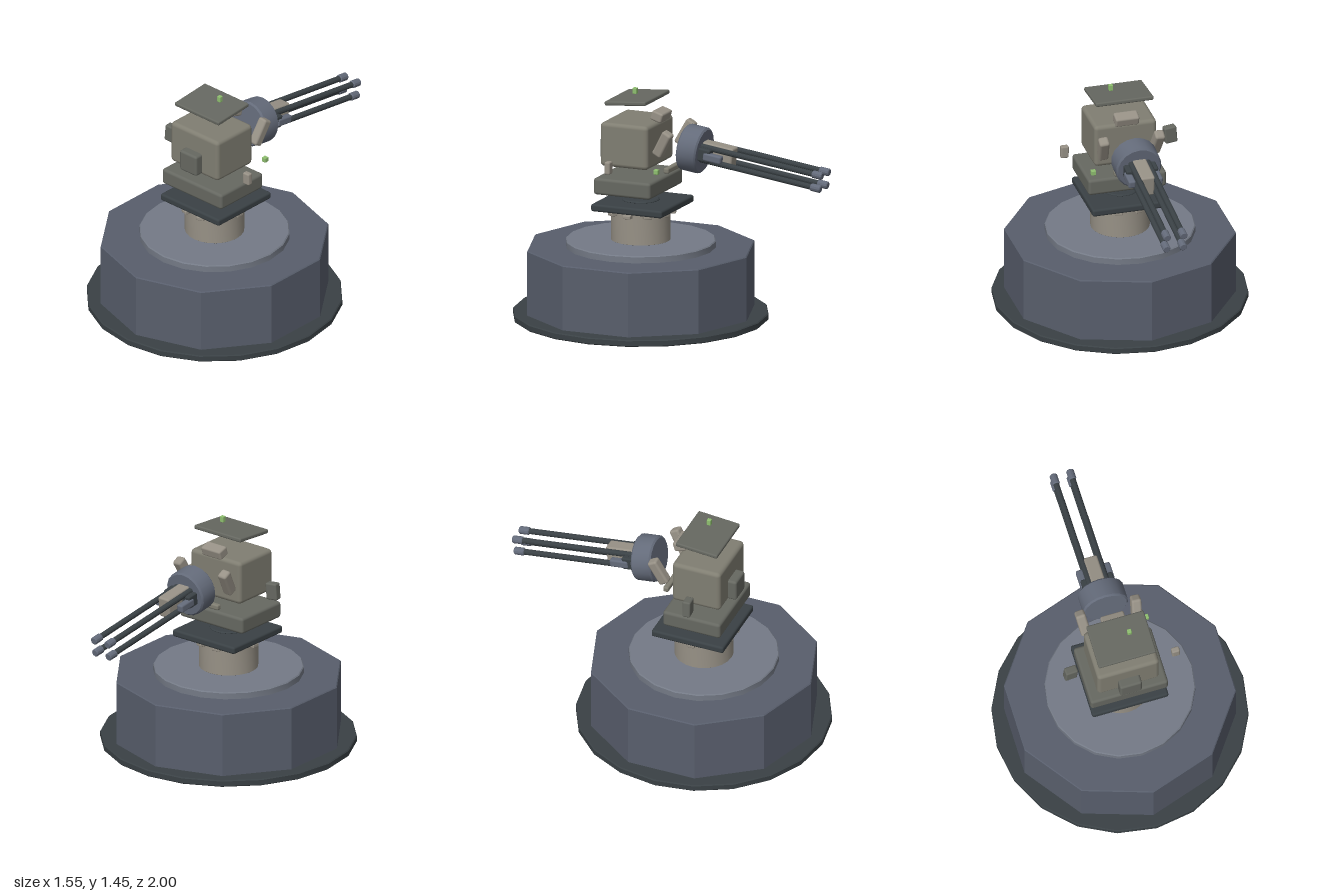
import * as THREE from 'three';
import { toCreasedNormals } from 'three/addons/utils/BufferGeometryUtils.js';
import { RoundedBoxGeometry } from 'three/addons/geometries/RoundedBoxGeometry.js';

const mat = (color) => new THREE.MeshStandardMaterial({ color });
const M = {
  hull: mat(0x585e6c), ring: mat(0x747a86), dark: mat(0x3a4145), stone: mat(0x979186),
  olive: mat(0x807e72), shade: mat(0x666861), steel: mat(0x646b7a), green: mat(0x8fbf70),
};

export function createModel() {
  const model = new THREE.Group();
  model.name = 'gunTurret';

  const place = (parent, name, geo, material, pos, rot = [0, 0, 0]) => {
    const mesh = new THREE.Mesh(geo, material);
    mesh.name = name;
    mesh.position.set(...pos);
    mesh.rotation.set(...rot);
    parent.add(mesh);
    return mesh;
  };
  // Rounded box given by full size and centre
  const box = (parent, name, material, size, pos, rot, r = 0.01) =>
    place(parent, name, new RoundedBoxGeometry(...size, 2, Math.min(r, Math.min(...size) * 0.35)), material, pos, rot);
  // Upright chamfered cylinder, centred on its own origin
  const drumGeo = (r, h, sides, c = 0.006) => {
    const pts = [[0, -h / 2], [r - c, -h / 2], [r, -h / 2 + c], [r, h / 2 - c], [r - c, h / 2], [0, h / 2]];
    const geo = new THREE.LatheGeometry(pts.map((p) => new THREE.Vector2(...p)), sides);
    return toCreasedNormals(geo, 0.35);
  };
  const disc = (name, material, r, y0, y1, sides) =>
    place(model, name, drumGeo(r, y1 - y0, sides), material, [0, (y0 + y1) / 2, 0.225]);

  // Base and pedestal
  disc('baseFlange', M.dark, 0.775, 0.015, 0.057, 20);
  disc('baseBody', M.hull, 0.7, 0, 0.457, 10);
  disc('baseRing', M.ring, 0.455, 0.45, 0.5, 20);
  disc('column', M.stone, 0.18, 0.495, 0.705, 24);
  for (let i = 0; i < 10; i++) {
    const a = (i + 0.5) * Math.PI / 5;
    box(model, 'columnBolt', M.stone, [0.05, 0.022, 0.05],
      [0.19 * Math.sin(a), 0.677, 0.225 + 0.19 * Math.cos(a)], [0, a, 0], 0.005);
  }
  box(model, 'turntablePlate', M.dark, [0.48, 0.046, 0.47], [0, 0.722, 0.215], undefined, 0.014);
  disc('turntableDisc', M.dark, 0.115, 0.74, 0.755, 20);

  // Floating body
  box(model, 'lowerBlock', M.shade, [0.488, 0.103, 0.375], [0, 0.858, 0.243], undefined, 0.018);
  box(model, 'mainHousing', M.olive, [0.39, 0.272, 0.315], [0, 1.11, 0.2525], undefined, 0.025);
  box(model, 'frontHatch', M.shade, [0.138, 0.135, 0.075], [0, 1.053, 0.427], undefined, 0.015);
  box(model, 'roofPlate', M.shade, [0.362, 0.026, 0.272], [0, 1.373, 0.25], [0.08, 0, 0], 0.01);
  box(model, 'sightBlock', M.stone, [0.148, 0.06, 0.075], [0, 1.283, 0.09], [-0.3, 0, 0], 0.012);
  box(model, 'rearBar', M.olive, [0.2, 0.034, 0.035], [0, 0.962, 0.015], undefined, 0.01);
  for (const s of [-1, 1]) {
    box(model, 'gunArm', M.stone, [0.062, 0.17, 0.065], [s * 0.168, 1.146, 0.002], [-0.5, 0, -s * 0.09], 0.015);
  }

  // Loose side pieces and lamps
  box(model, 'rightPod', M.shade, [0.078, 0.105, 0.05], [-0.321, 1.052, 0.255], [0, 0.08, -0.08]);
  box(model, 'leftPod', M.stone, [0.05, 0.078, 0.036], [0.33, 1.006, 0.29], [0, 0, 0.02]);
  box(model, 'roofLamp', M.green, [0.026, 0.038, 0.026], [0.055, 1.429, 0.237], undefined, 0.004);
  box(model, 'sideLamp', M.green, [0.03, 0.03, 0.03], [0.226, 0.984, 0.02], undefined, 0.004);

  // Four-barrel gun, pointing along its local -z and dipped a little
  const gun = new THREE.Group();
  gun.name = 'gun';
  gun.position.set(0, 1.095, -0.132);
  gun.rotation.x = -0.132;
  model.add(gun);
  const along = [Math.PI / 2, 0, 0];
  place(gun, 'gunDrum', drumGeo(0.142, 0.13, 18, 0.01), M.steel, [0, 0, 0], along);
  box(gun, 'gunReceiver', M.stone, [0.085, 0.13, 0.22], [0, 0, -0.155], undefined, 0.012);
  for (const s of [-1, 1]) {
    box(gun, 'receiverMount', M.dark, [0.06, 0.08, 0.08], [s * 0.07, 0, -0.1]);
    box(gun, 'receiverPod', M.steel, [0.045, 0.05, 0.12], [s * 0.085, -0.005, -0.16], undefined, 0.012);
    for (const t of [-1, 1]) {
      place(gun, 'barrel', drumGeo(0.018, 0.78, 12, 0.002), M.dark, [s * 0.052, t * 0.041, -0.44], along);
      place(gun, 'muzzle', drumGeo(0.024, 0.066, 12, 0.005), M.steel, [s * 0.052, t * 0.041, -0.838], along);
    }
  }
  return model;
}
